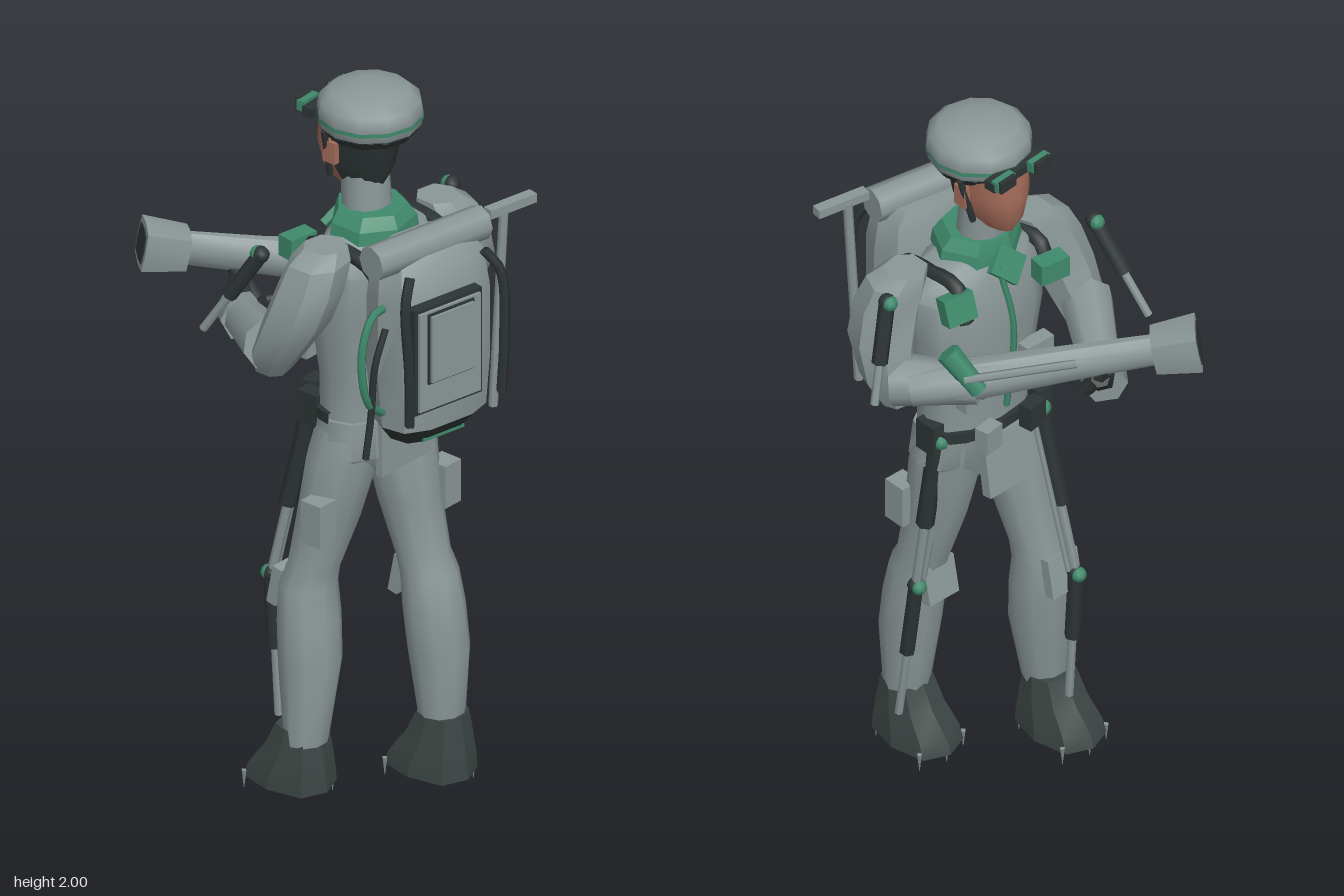
import * as THREE from 'three';
import { toCreasedNormals } from 'three/addons/utils/BufferGeometryUtils.js';

const mat = (name, color) => {
  const m = new THREE.MeshStandardMaterial({ color, side: THREE.DoubleSide });
  m.name = name;
  return m;
};
const cloth = mat('grey cloth', 0x8a9697);
const dark = mat('dark metal', 0x2d3534);
const leather = mat('boot leather', 0x3b4543);
const green = mat('green trim', 0x3f8a6c);
const skin = mat('skin', 0xa56c5a);
const V = (p) => new THREE.Vector3(...p);

export function createModel() {
  const root = new THREE.Group();
  const add = (name, geo, material, parent = root) => {
    const m = new THREE.Mesh(geo, material);
    m.name = name;
    parent.add(m);
    return m;
  };

  // Stacked horizontal rings [y, cx, cz, rx, rz], bottom to top; pow < 1 squares the section
  const loft = (name, rings, material, { n = 10, pow = 1, from = 0, arc = Math.PI * 2, parent = root, crease = 0.75 } = {}) => {
    const pos = [], idx = [], w = n + 1;
    const pw = (v) => Math.sign(v) * Math.abs(v) ** pow;
    for (const [y, cx, cz, rx, rz] of rings)
      for (let j = 0; j <= n; j++) {
        const a = from + (arc * j) / n;
        pos.push(cx + rx * pw(Math.cos(a)), y, cz + rz * pw(Math.sin(a)));
      }
    for (let i = 0; i < rings.length - 1; i++)
      for (let j = 0; j < n; j++) {
        const a = i * w + j, b = a + w;
        idx.push(a, b, a + 1, b, b + 1, a + 1);
      }
    const last = rings.length - 1, c = pos.length / 3;
    for (const i of [0, last]) pos.push(rings[i][1], rings[i][0], rings[i][2]);
    for (let j = 0; j < n; j++) {
      idx.push(c, j, j + 1);
      idx.push(c + 1, last * w + j + 1, last * w + j);
    }
    const g = new THREE.BufferGeometry();
    g.setAttribute('position', new THREE.Float32BufferAttribute(pos, 3));
    g.setIndex(idx);
    return add(name, toCreasedNormals(g, crease), material, parent);
  };

  // Tapered cylinder from a to b
  const rod = (name, a, b, ra, rb, material, n = 8, parent = root) => {
    const A = V(a), B = V(b), d = B.clone().sub(A);
    const m = add(name, new THREE.CylinderGeometry(rb, ra, d.length(), n), material, parent);
    m.position.copy(A).add(B).multiplyScalar(0.5);
    m.quaternion.setFromUnitVectors(new THREE.Vector3(0, 1, 0), d.normalize());
    return m;
  };
  const box = (name, size, at, material, rot = [0, 0, 0], parent = root) => {
    const m = add(name, new THREE.BoxGeometry(...size), material, parent);
    m.position.set(...at);
    m.rotation.set(...rot);
    return m;
  };
  const ball = (name, at, r, material) => {
    const m = add(name, new THREE.SphereGeometry(r, 8, 6), material);
    m.position.set(...at);
    return m;
  };
  const tube = (name, pts, r, material, parent = root) =>
    add(name, new THREE.TubeGeometry(new THREE.CatmullRomCurve3(pts.map(V)), 14, r, 5), material, parent);
  // Exoskeleton strut: thick dark cylinder, thin grey rod, dark pivot with a green face in front
  const piston = (name, a, b, split, r) => {
    const mid = V(a).lerp(V(b), split).toArray();
    rod(name + 'Cylinder', a, mid, r, r, dark, 6);
    rod(name + 'Rod', mid, b, r * 0.55, r * 0.55, cloth, 6);
    ball(name + 'Pivot', a, r * 1.1, dark);
    ball(name + 'PivotFace', [a[0], a[1], a[2] - r * 0.5], r, green);
  };

  // Head, hair, beret and goggles; the figure looks toward -z
  loft('neck', [[1.58, -0.03, 0.1, 0.07, 0.065], [1.78, -0.03, 0.085, 0.065, 0.06]], cloth);
  loft('face', [[1.71, -0.03, 0.06, 0.035, 0.08], [1.75, -0.03, 0.06, 0.065, 0.1], [1.82, -0.03, 0.06, 0.085, 0.112],
    [1.9, -0.03, 0.06, 0.092, 0.1]], skin, { from: Math.PI, arc: Math.PI, n: 8 });
  loft('hair', [[1.72, -0.03, 0.06, 0.05, 0.085], [1.78, -0.03, 0.06, 0.085, 0.11], [1.9, -0.03, 0.06, 0.105, 0.135]],
    dark, { arc: Math.PI, n: 8 });
  const beret = add('beret', new THREE.LatheGeometry([[0.115, 1.875], [0.132, 1.892], [0.138, 1.93], [0.131, 1.962],
    [0.103, 1.986], [0.045, 2], [0, 2]].map(([x, y]) => new THREE.Vector2(x, y)), 12), cloth);
  beret.position.set(-0.03, 0, 0.105);
  const band = add('beretBand', new THREE.CylinderGeometry(0.139, 0.139, 0.011, 12, 1, true), green);
  band.position.set(-0.03, 1.919, 0.105);
  const brim = add('beretLining', new THREE.CylinderGeometry(0.134, 0.115, 0.026, 12), dark);
  brim.position.set(-0.03, 1.882, 0.105);
  box('goggleStrip', [0.19, 0.026, 0.035], [-0.03, 1.91, -0.03], dark, [0, 0.08, 0]);
  for (const x of [-0.09, 0.03]) {
    box('goggleLens', [0.065, 0.028, 0.022], [x, 1.918, -0.053], green, [0, 0.08, 0]);
    box('goggleCup', [0.055, 0.032, 0.012], [x, 1.918, -0.067], dark, [0, 0.08, 0]);
  }
  for (const s of [-1, 1]) {
    box('ear', [0.018, 0.06, 0.04], [-0.03 + s * 0.1, 1.83, 0.06], skin);
    rod('chinStrap', [-0.03 + s * 0.115, 1.89, 0.05], [-0.03 + s * 0.08, 1.75, 0.04], 0.009, 0.009, dark, 5);
  }

  // Torso, collar, belt and hips
  loft('torso', [[1.06, -0.01, 0.1, 0.165, 0.1], [1.2, -0.01, 0.1, 0.165, 0.1], [1.4, -0.01, 0.1, 0.195, 0.12],
    [1.52, -0.01, 0.11, 0.2, 0.115], [1.585, -0.02, 0.11, 0.16, 0.095], [1.62, -0.03, 0.11, 0.08, 0.075]], cloth, { n: 12, pow: 0.85 });
  loft('collar', [[1.595, -0.03, 0.115, 0.125, 0.112], [1.63, -0.03, 0.115, 0.118, 0.108], [1.662, -0.03, 0.11, 0.09, 0.095]],
    green, { n: 7, crease: 0.3 });
  box('collarFlap', [0.09, 0.08, 0.02], [-0.03, 1.59, 0.0], green, [0.45, 0, 0.78]);
  loft('belt', [[1.08, -0.01, 0.1, 0.175, 0.112], [1.11, -0.01, 0.1, 0.175, 0.112]], dark,
    { n: 10, pow: 0.85, from: Math.PI, arc: Math.PI });
  loft('hips', [[0.93, -0.01, 0.11, 0.1, 0.085], [0.99, -0.01, 0.11, 0.185, 0.1], [1.09, -0.01, 0.1, 0.175, 0.105]],
    cloth, { n: 12, pow: 0.8 });
  box('frontFlap', [0.13, 0.17, 0.03], [-0.01, 0.98, -0.005], cloth, [0.15, 0, 0]);
  box('backFlap', [0.19, 0.16, 0.02], [-0.01, 1.015, 0.2], cloth);
  for (const [x, material] of [[-0.09, dark], [0.06, cloth]])
    box('beltPouch', [0.06, 0.07, 0.04], [x, 1.1, -0.03], material, [0, 0.15, 0]);
  for (const x of [-0.11, 0.1]) box('chestPouch', [0.09, 0.1, 0.04], [x, 1.27, -0.02], cloth);
  box('chestRadioLeft', [0.085, 0.075, 0.045], [0.132, 1.53, 0.01], green, [0.3, -0.2, 0]);
  box('chestRadioRight', [0.085, 0.06, 0.05], [-0.148, 1.54, -0.035], green, [0, -0.15, 0]);
  tube('chestHose', [[0.0, 1.6, 0.0], [-0.02, 1.42, -0.035], [-0.01, 1.16, -0.02]], 0.009, green);
  for (const x of [-0.17, 0.115])
    tube('shoulderStrap', [[x, 1.48, -0.005], [x, 1.57, 0.03], [x + 0.01, 1.58, 0.12],
      [x + 0.01, 1.55, 0.23], [x, 1.42, 0.26]], 0.021, dark);

  // Legs: the left one (+x) trails, the right one leads
  const legs = [
    { side: 'left', rings: [[0.16, 0.095, 0.24, 0.062, 0.055], [0.38, 0.092, 0.23, 0.08, 0.083], [0.5, 0.09, 0.215, 0.084, 0.08],
      [0.59, 0.09, 0.2, 0.077, 0.076], [0.64, 0.09, 0.178, 0.073, 0.07], [0.8, 0.075, 0.145, 0.083, 0.086],
      [0.97, 0.07, 0.115, 0.1, 0.095], [1.06, 0.075, 0.1, 0.085, 0.09]],
      boot: [0.09, 0.205], hip: [0.145, 1.08, 0.07], knee: [0.168, 0.59, 0.125], foot: [0.172, 0.15, 0.185], pouch: [0.15, 0.82, 0.195] },
    { side: 'right', rings: [[0.16, -0.195, 0.035, 0.062, 0.055], [0.38, -0.175, 0.03, 0.086, 0.082], [0.5, -0.168, 0.02, 0.088, 0.08],
      [0.59, -0.16, 0.01, 0.08, 0.076], [0.64, -0.15, 0.02, 0.073, 0.068], [0.8, -0.13, 0.055, 0.083, 0.086],
      [0.97, -0.115, 0.09, 0.1, 0.095], [1.06, -0.1, 0.1, 0.085, 0.09]],
      boot: [-0.195, -0.02], hip: [-0.14, 1.08, 0.0], knee: [-0.175, 0.58, -0.1], foot: [-0.17, 0.18, -0.08], pouch: [-0.225, 0.82, 0.1] },
  ];
  for (const { side, rings, boot: [x, z], hip, knee, foot, pouch } of legs) {
    loft(side + 'Leg', rings, cloth, { crease: 1 });
    loft(side + 'Boot', [[0.03, x, z, 0.09, 0.125], [0.07, x, z + 0.005, 0.088, 0.115], [0.13, x + 0.002, z + 0.025, 0.075, 0.085],
      [0.2, x + 0.003, z + 0.036, 0.064, 0.06]], leather, { n: 8, pow: 0.75, crease: 0.4 });
    for (const [dx, dz] of [[-0.075, -0.09], [0, -0.11], [0.075, -0.09], [0.06, 0.09]])
      rod(side + 'BootSpike', [x + dx, 0, z + dz], [x + dx, 0.05, z + dz], 0.001, 0.008, cloth, 4);
    box(side + 'KneePad', [0.1, 0.11, 0.03], [rings[3][1], 0.57, rings[3][2] - 0.072], cloth, [0.2, 0, 0]);
    piston(side + 'ThighStrut', hip, knee, 0.58, 0.024);
    piston(side + 'ShinStrut', knee, foot, 0.52, 0.021);
    rod(side + 'HipRod', [hip[0] * 0.75, 1.09, hip[2] - 0.01], [knee[0] * 0.85, 0.6, knee[2]], 0.008, 0.008, cloth, 5);
    box(side + 'HipMount', [0.045, 0.09, 0.065], [hip[0] * 1.05, 1.09, hip[2] + 0.015], dark);
    box(side + 'ThighPouch', [0.06, 0.12, 0.065], pouch, cloth);
  }

  // Arms: faceted sleeve from shoulder to elbow, forearm and glove
  const arms = [
    { side: 'left', sleeve: [[1.245, 0.255, 0.105, 0.04, 0.04], [1.32, 0.268, 0.125, 0.065, 0.07], [1.42, 0.255, 0.158, 0.078, 0.09],
      [1.51, 0.225, 0.168, 0.083, 0.085], [1.58, 0.205, 0.155, 0.078, 0.075], [1.61, 0.185, 0.145, 0.055, 0.055]],
      elbow: [0.265, 1.32, 0.1], wrist: [0.14, 1.34, -0.08], hand: [0.09, 1.36, -0.13], glove: cloth },
    { side: 'right', sleeve: [[1.255, -0.3, 0.01, 0.04, 0.045], [1.32, -0.305, 0.035, 0.068, 0.07], [1.42, -0.292, 0.085, 0.083, 0.085],
      [1.51, -0.27, 0.11, 0.085, 0.085], [1.58, -0.24, 0.115, 0.08, 0.075], [1.61, -0.21, 0.11, 0.055, 0.055]],
      elbow: [-0.31, 1.33, 0.01], wrist: [-0.165, 1.28, -0.21], hand: [-0.095, 1.35, -0.28], glove: dark },
  ];
  for (const { side, sleeve, elbow, wrist, hand, glove } of arms) {
    loft(side + 'Sleeve', sleeve, cloth, { n: 7, pow: 0.85, crease: 0.5 });
    rod(side + 'Forearm', elbow, wrist, 0.07, 0.052, cloth, 8);
    rod(side + 'Glove', wrist, hand, 0.042, 0.025, glove, 6);
  }
  rod('rightCuff', [-0.185, 1.285, -0.185], [-0.145, 1.28, -0.245], 0.062, 0.058, cloth, 6);
  rod('leftCuff', [0.205, 1.45, -0.035], [0.165, 1.35, -0.11], 0.032, 0.026, green, 6);
  piston('leftArmStrut', [0.29, 1.58, 0.1], [0.365, 1.31, 0.065], 0.6, 0.021);
  piston('rightArmStrut', [-0.32, 1.585, -0.01], [-0.37, 1.34, -0.16], 0.55, 0.021);

  // Launcher: deep tapering body, flared square muzzle, side rail and grip
  const aim = new THREE.Group();
  aim.name = 'launcher';
  aim.position.set(0.225, 1.33, 0.01);
  root.add(aim);
  aim.quaternion.setFromUnitVectors(new THREE.Vector3(0, 1, 0), V([-0.515, 0.125, -0.45]).normalize());
  const turn = new THREE.Group();
  turn.name = 'launcherBody';
  // turn the section so that its deep side stands upright
  const up = new THREE.Vector3(0, 1, 0).applyQuaternion(aim.quaternion.clone().invert());
  turn.rotation.y = Math.atan2(up.x, up.z);
  aim.add(turn);
  loft('barrel', [[-0.05, 0, 0, 0.05, 0.05], [0.08, 0, 0, 0.06, 0.058], [0.35, 0, 0, 0.038, 0.052], [0.6, 0, 0, 0.024, 0.046]],
    cloth, { n: 10, parent: turn });
  loft('muzzle', [[0.575, 0, 0, 0.055, 0.05], [0.692, 0, 0, 0.067, 0.06]], cloth, { n: 8, pow: 0.4, parent: turn });
  loft('muzzleOpening', [[0.691, 0, 0, 0.05, 0.044], [0.695, 0, 0, 0.05, 0.044]], dark, { n: 8, pow: 0.4, parent: turn });
  rod('launcherRail', [0.2, 1.39, -0.09], [-0.03, 1.42, -0.26], 0.012, 0.012, cloth, 5);
  rod('launcherSling', [0.06, 1.32, -0.03], [-0.09, 1.3, -0.19], 0.012, 0.012, dark, 5);
  rod('launcherGrip', [-0.11, 1.38, -0.29], [-0.09, 1.29, -0.23], 0.022, 0.022, dark, 6);

  // Backpack, turned slightly about the spine
  const pack = new THREE.Group();
  pack.name = 'backpack';
  pack.position.set(-0.06, 0, 0.33);
  pack.rotation.y = -0.17;
  root.add(pack);
  const o = { n: 10, pow: 0.7, parent: pack, crease: 0.6 };
  loft('packBase', [[1.1, 0, -0.02, 0.11, 0.07], [1.155, 0, 0, 0.155, 0.09]], dark, o);
  loft('packBody', [[1.155, 0, 0, 0.155, 0.092], [1.3, 0, -0.005, 0.165, 0.108], [1.5, 0, -0.005, 0.165, 0.105],
    [1.6, 0, -0.01, 0.155, 0.088], [1.64, 0, -0.02, 0.125, 0.065]], cloth, o);
  box('packBaseTrim', [0.13, 0.008, 0.02], [0, 1.112, 0.05], green, [0, 0, 0], pack);
  rod('bedroll', [-0.195, 1.64, 0.005], [0.165, 1.64, 0.005], 0.047, 0.047, cloth, 8, pack);
  box('packFrame', [0.22, 0.3, 0.03], [-0.04, 1.385, 0.11], dark, [0, 0, 0], pack);
  box('packPocket', [0.2, 0.28, 0.03], [-0.04, 1.385, 0.118], cloth, [0, 0, 0], pack);
  box('packPocketEdge', [0.15, 0.2, 0.02], [-0.04, 1.42, 0.128], dark, [0, 0, 0], pack);
  box('packPocketFlap', [0.138, 0.188, 0.024], [-0.04, 1.42, 0.133], cloth, [0, 0, 0], pack);
  for (const s of [-1, 1])
    tube('packRail', [[s * 0.12, 1.6, 0.07], [s * 0.155, 1.54, 0.095], [s * 0.155, 1.35, 0.11], [s * 0.15, 1.2, 0.105]], 0.014, dark, pack);

  // Spade carried beside the pack, and the drinking hose on the other side
  rod('spadeShaft', [0.165, 1.67, 0.385], [0.14, 1.1, 0.37], 0.013, 0.013, cloth, 6);
  box('spadeHandle', [0.15, 0.025, 0.03], [0.178, 1.67, 0.395], cloth, [0, -0.17, 0]);
  tube('greenHose', [[-0.2, 1.5, 0.31], [-0.27, 1.5, 0.32], [-0.315, 1.41, 0.325], [-0.3, 1.27, 0.33], [-0.23, 1.21, 0.32]], 0.011, green);
  tube('darkHose', [[-0.24, 1.46, 0.34], [-0.28, 1.37, 0.34], [-0.285, 1.22, 0.33], [-0.305, 1.11, 0.33]], 0.01, dark);

  return root;
}
